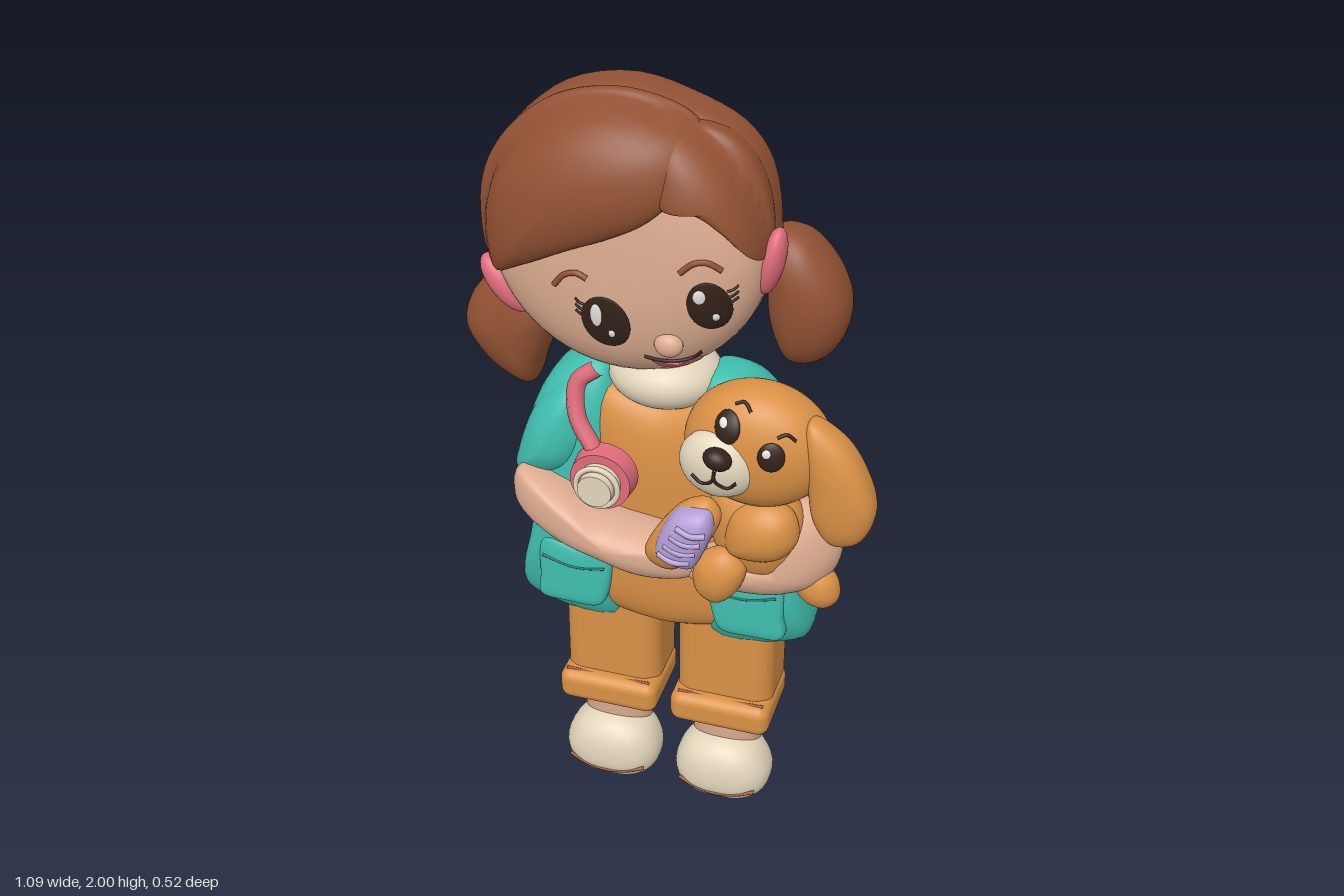
import * as THREE from 'three';
import { mergeVertices } from 'three/addons/utils/BufferGeometryUtils.js';
import { RoundedBoxGeometry } from 'three/addons/geometries/RoundedBoxGeometry.js';

const paint = (name, color) => {
  const m = new THREE.MeshStandardMaterial({ color });
  m.name = name;
  return m;
};

// Height of a rounded dome over an ellipse, used to lay details on curved faces
const dome = (cx, cy, rx, ry, z0, h, p) => (x, y) => {
  const r = Math.hypot((x - cx) / rx, (y - cy) / ry);
  return r >= 1 ? z0 : z0 + h * Math.pow(1 - Math.pow(r, p), 1 / p);
};

// Outlines are flat x, y lists in hundredths of a unit
const oval = (cx, cy, rx, ry, turn = 0) => {
  const out = [];
  for (let i = 0; i < 16; i++) {
    const a = (i / 16) * Math.PI * 2, u = rx * Math.cos(a), v = ry * Math.sin(a);
    out.push(cx + u * Math.cos(turn) - v * Math.sin(turn), cy + u * Math.sin(turn) + v * Math.cos(turn));
  }
  return out;
};
const flip = (o) => o.map((v, i) => (i % 2 ? v : -v));

// Inflates a smooth closed outline to the front by f and to the back by b
function puffGeometry(outline, { z = 0, f = 0.1, b = f, p = 2, c = null }) {
  const pts = [];
  for (let i = 0; i < outline.length; i += 2) pts.push(new THREE.Vector3(outline[i] / 100, outline[i + 1] / 100, 0));
  if (THREE.ShapeUtils.area(pts) < 0) pts.reverse();
  const M = 56, N = 24;
  const rim = new THREE.CatmullRomCurve3(pts, true).getPoints(M).slice(0, M);
  const mid = new THREE.Vector3();
  if (c) mid.set(c[0] / 100, c[1] / 100, 0);
  else rim.forEach((q) => mid.addScaledVector(q, 1 / M));
  const pos = [], idx = [];
  for (let j = 0; j <= N; j++) {
    const t = (j / N) * Math.PI, k = Math.cos(t);
    const s = j === 0 || j === N ? 0 : Math.pow(Math.sin(t), 2 / p);
    const lift = (k > 0 ? f : -b) * Math.pow(Math.abs(k), 2 / p);
    for (let i = 0; i < M; i++) {
      const x = mid.x + (rim[i].x - mid.x) * s, y = mid.y + (rim[i].y - mid.y) * s;
      pos.push(x, y, (typeof z === 'function' ? z(x, y) : z) + lift);
      if (j === N) continue;
      const a = j * M + i, n = j * M + ((i + 1) % M);
      if (j < N - 1) idx.push(a, a + M, n + M);
      else idx.push(a, a + M, n);
      if (j > 0 && j < N - 1) idx.push(a, n + M, n);
    }
  }
  const g = new THREE.BufferGeometry();
  g.setAttribute('position', new THREE.Float32BufferAttribute(pos, 3));
  g.setIndex(idx);
  const merged = mergeVertices(g, 1e-5);
  merged.computeVertexNormals();
  return merged;
}

export function createModel() {
  const hair = paint('hair brown', 0x925133), skin = paint('skin', 0xdfae92);
  const teal = paint('coat teal', 0x40bfb0), seam = paint('seam teal', 0x1f746c);
  const orange = paint('warm orange', 0xda9146), cream = paint('cream', 0xe2d5bb);
  const pink = paint('pink', 0xdf6c7a), lilac = paint('lilac', 0xb49ed6);
  const dark = paint('dark brown', 0x33211a), white = paint('white', 0xf2eee8);
  const root = new THREE.Group();
  root.name = 'girlWithPuppy';

  const add = (name, geo, mat) => {
    const m = new THREE.Mesh(geo, mat);
    m.name = name;
    root.add(m);
    return m;
  };
  const puff = (name, mat, outline, opt) => add(name, puffGeometry(outline, opt), mat);
  const stroke = (name, mat, flat, z, r) => {
    const pts = [];
    for (let i = 0; i < flat.length; i += 2) {
      const x = flat[i] / 100, y = flat[i + 1] / 100;
      pts.push(new THREE.Vector3(x, y, z(x, y)));
    }
    return add(name, new THREE.TubeGeometry(new THREE.CatmullRomCurve3(pts), 20, r, 8), mat);
  };
  const ball = (name, mat, x, y, z, rx, ry, rz, turn = 0) => {
    const m = add(name, new THREE.SphereGeometry(1, 28, 20), mat);
    m.position.set(x, y, z);
    m.scale.set(rx, ry, rz);
    m.rotation.z = turn;
  };

  // Head
  const face = dome(-0.095, 1.645, 0.335, 0.337, -0.06, 0.165, 2.9);
  puff('head', skin, oval(-9.5, 164.5, 33.5, 33.7), { z: -0.06, f: 0.165, p: 2.9 });
  ball('nose', skin, 0.035, 1.443, face(0.035, 1.443) + 0.004, 0.034, 0.03, 0.024);

  // Hair: swept fringe, side lock and back cap following the skull
  puff('fringe', hair, [-43, 153, -45.5, 168, -43, 179, -36, 189, -25, 197, -10, 200, 4, 196.8, 8, 192.5, 6, 183,
    -0.5, 175.5, -10, 170, -20, 165.5, -32, 159], { z: (x, y) => Math.max(-0.03, face(x, y)), f: 0.05, b: 0.07, c: [-20, 180] });
  puff('sideLock', hair, [3, 194, 14, 192.3, 20.5, 185, 24, 173, 23.5, 165.5, 21, 168, 16, 173.5, 9, 178.5, 2, 179, 1, 186],
    { z: (x, y) => Math.max(-0.03, face(x, y)), f: 0.04, b: 0.09, p: 2.4 });
  puff('backHair', hair, [-42, 147, -45.5, 166, -43, 179, -36, 189, -25, 197, -10, 200, 4, 196.8, 15, 191.8, 21, 184.5,
    24, 171, 23, 155, 15, 161, 4, 168.5, -13, 177, -21, 171, -32, 157],
  { z: (x, y) => Math.min(-0.11, -0.12 - face(x, y)), f: 0.1, b: 0.045, p: 3.6, c: [-12, 187] });
  puff('rightPonytail', hair, [-40, 149, -48, 144, -53.5, 137, -54.8, 130, -50, 122, -44, 117, -38, 115, -35.5, 121,
    -33, 129, -32, 137, -35, 144], { z: -0.14, f: 0.1, p: 2.3 });
  puff('leftPonytail', hair, [22, 166, 28.5, 166.5, 36, 160, 40.5, 150, 39.5, 141, 34, 134, 27, 133, 22, 143, 21, 156],
    { z: -0.14, f: 0.1, p: 2.3 });
  ball('rightHairTie', pink, -0.398, 1.48, -0.02, 0.038, 0.085, 0.042, 0.67);
  ball('leftHairTie', pink, 0.242, 1.635, -0.025, 0.03, 0.085, 0.042, -0.2);

  // Painted face
  const onFace = (d) => (x, y) => face(x, y) + d;
  for (const [x, y, rx, ry, side, shine] of [[-11, 148.5, 5.8, 6.8, -1, 3], [12.8, 155.5, 4.8, 6.4, 1, 1.8]]) {
    puff('eye', dark, oval(x, y, rx, ry, 0.2), { z: onFace(0.001), f: 0.006, b: 0.003 });
    puff('eyeHighlight', white, oval(x - 2, y + 4 - shine * 0.7, 1.4, shine), { z: onFace(0.006), f: 0.004, b: 0.002 });
    puff('eyeGlint', white, oval(x + 1.5, y - 2.6, 0.8, 1), { z: onFace(0.006), f: 0.004, b: 0.002 });
    for (const k of [0, 1, 2])
      stroke('eyelash', dark, [x + side * (rx - 1), y + 4 - k * 1.8, x + side * (rx + 0.3), y + 4.4 - k * 1.5,
        x + side * (rx + 1.3), y + 5.4 - k * 1.6], onFace(0.002), 0.003);
  }
  stroke('rightBrow', hair, [-23, 156.5, -20.5, 159.5, -17.5, 160.5, -15, 159.5], onFace(0.003), 0.007);
  stroke('leftBrow', hair, [6.5, 164, 9.5, 166.5, 12.5, 166.8, 15.5, 165], onFace(0.003), 0.007);
  puff('lips', pink, [-1, 138.6, 4.5, 137.8, 9.5, 140, 9, 136.8, 5.5, 135, 1.5, 135.8], { z: onFace(0.002), f: 0.009, b: 0.006 });
  stroke('smile', dark, [-2.5, 139.9, 1, 138.9, 5, 138.7, 8.5, 139.9, 10.5, 142], onFace(0.004), 0.004);

  // Body and collar
  puff('overalls', orange, [-17, 125, -2, 122.5, 13, 125, 18, 102, 20, 75, 18, 60, 5, 55.5, -5, 55.5, -18, 60, -20, 75, -19, 102],
    { z: -0.085, f: 0.13, b: 0.125, p: 4 });
  ball('collar', cream, -0.02, 1.275, -0.075, 0.14, 0.08, 0.125);
  const neck = add('neck', new THREE.CylinderGeometry(0.1, 0.1, 0.14, 32), skin);
  neck.position.set(-0.03, 1.32, -0.07);
  neck.scale.z = 0.85;

  // Open coat
  const coat = { z: -0.085, f: 0.14, b: 0.15, p: 2.8 };
  puff('rightCoat', teal, [-16, 131, -27, 127, -34, 117, -37.5, 101, -36, 82, -39.5, 61, -37, 56, -12, 53, -11, 84, -11, 113], coat);
  puff('leftCoat', teal, [9, 130, 18, 130, 25.5, 123, 30, 109, 32.5, 95, 34.5, 80, 37.5, 60, 35, 56, 12, 53, 13, 84, 12, 110], coat);
  puff('rightSleeve', teal, [-22, 126, -32, 118, -38, 103, -38.5, 98, -31, 97, -22, 102, -18, 114], { z: -0.02, f: 0.1, b: 0.12 });
  for (const side of [-1, 1]) {
    const o = [-30.5, 81, -22, 79.5, -13.5, 79, -14, 65, -16, 61.5, -24, 61, -32, 62, -32, 68];
    const line = [-30.5, 75.5, -22, 73.5, -14, 74.5];
    puff('pocket', teal, side < 0 ? o : flip(o), { z: 0.02, f: 0.042, b: 0.01, p: 5 });
    stroke('pocketSeam', seam, side < 0 ? line : flip(line), () => 0.06, 0.004);
  }

  // Legs, cuffs and shoes
  const shoe = [-28.5, 10, -27.5, 4, -23, 0.6, -15, 0, -8, 0.6, -3.5, 4, -2.5, 10, -6, 17, -15, 20, -24, 17.5];
  const sole = [-26, 6.4, -21, 5.2, -15.5, 4.8, -10, 5.2, -5, 6.4];
  for (const side of [-1, 1]) {
    const turn = (o) => (side < 0 ? o : flip(o));
    add('trouserLeg', new RoundedBoxGeometry(0.255, 0.47, 0.21, 5, 0.05), orange).position.set(side * 0.153, 0.505, -0.108);
    add('trouserCuff', new RoundedBoxGeometry(0.268, 0.092, 0.225, 5, 0.03), orange).position.set(side * 0.153, 0.306, -0.076);
    stroke('cuffSeam', hair, [side * 27, 35, side * 15, 34.6, side * 4, 35], () => 0.009, 0.005);
    const ankle = add('ankle', new THREE.CylinderGeometry(0.104, 0.09, 0.14, 32), skin);
    ankle.position.set(side * 0.153, 0.22, -0.078);
    ankle.scale.z = 0.7;
    puff('shoe', cream, turn(shoe), { z: -0.045, f: 0.1, p: 2.4 });
    stroke('shoeSeam', hair, turn(sole), (x) => 0.049 - 1.7 * (Math.abs(x) - 0.155) ** 2, 0.005);
  }

  // Arms cradling the puppy
  puff('rightArm', skin, [-35, 103, -26, 101, -13, 95, 1, 93, 13, 91, 14, 87, 12, 83, 1, 80, -15, 83, -28, 87, -36, 94],
    { z: (x) => 0.085 + 0.06 * (x + 0.15), f: 0.09, b: 0.1, c: [-10, 89] });
  puff('leftArm', skin, [33, 106, 41, 104, 45.5, 94, 43, 85, 33, 80, 20, 80, 9, 83, 10, 88, 20, 92, 29, 95],
    { z: (x) => 0.085 - 0.2 * (x - 0.2), f: 0.09, b: 0.1, c: [32, 88] });

  // Stethoscope
  stroke('stethoscopeTube', pink, [-15, 133, -19.5, 129, -19, 121, -15, 115, -11.5, 110],
    (x, y) => 0.06 + (1.3 - y) * 0.3, 0.022);
  for (const [name, mat, r, d, z] of [['stethoscopeRim', pink, 0.08, 0.05, 0.125],
    ['stethoscopeDisc', cream, 0.054, 0.05, 0.15], ['stethoscopeCap', cream, 0.045, 0.03, 0.178]]) {
    const disc = add(name, new THREE.CylinderGeometry(r * 0.94, r, d, 40), mat);
    disc.rotation.x = Math.PI / 2;
    disc.position.set(-0.115, 1.077, z);
  }
  add('stethoscopeRing', new THREE.TorusGeometry(0.052, 0.007, 10, 40), cream).position.set(-0.115, 1.077, 0.173);

  // Puppy body and limbs
  puff('puppyBody', orange, [16, 110, 30, 112, 36.5, 105, 36, 94, 31, 86, 22, 86, 15, 95], { z: 0.09, f: 0.085 });
  puff('puppyLeftPaw', orange, [21, 106, 28, 110, 35, 108, 37, 101, 33.5, 95.5, 27, 93.5, 20, 95], { z: 0.14, f: 0.065 });
  puff('puppyRightPaw', orange, [0.5, 92, 2, 97, 10, 108, 16, 110, 19, 106, 15, 96, 8, 88.5, 3, 89], { z: 0.17, f: 0.055 });
  puff('puppyRightFoot', orange, [13, 92, 20, 96, 25, 92, 23, 84, 18, 80, 13, 83], { z: 0.16, f: 0.05 });
  puff('puppyLeftFoot', orange, [34, 84, 40, 89, 45, 86, 46, 80, 43, 77, 38, 78], { z: 0.065, f: 0.045 });

  // Bandage wrapped around the paw
  puff('bandage', lilac, [4, 95.5, 9, 107, 16.5, 108.5, 18, 105, 15.5, 96, 13, 92, 6, 93], { z: 0.185, f: 0.06, b: 0.05, p: 3 });
  for (let k = 0; k < 4; k++)
    stroke('bandageWrap', lilac, [5.5 + k * 1.5, 96.5 + k * 2.8, 9.5 + k * 1.4, 95.3 + k * 2.8, 13.5 + k * 1.2, 95.6 + k * 2.8],
      (x) => 0.242 - 4 * (x - 0.1 - k * 0.012) ** 2, 0.008);

  // Puppy head
  const pup = dome(0.258, 1.235, 0.175, 0.157, 0.1, 0.11, 2.3);
  const onPup = (d) => (x, y) => pup(x, y) + d;
  puff('puppyHead', orange, oval(25.8, 123.5, 17.5, 15.7), { z: 0.1, f: 0.11, b: 0.09, p: 2.3 });
  puff('puppyEar', orange, [38, 134, 46, 130, 52, 121, 54.5, 111, 51, 103, 45, 101.5, 40.5, 107, 38.5, 118], { z: 0.13, f: 0.06, p: 2.6 });
  ball('puppySnout', cream, 0.185, 1.215, 0.182, 0.094, 0.085, 0.055, -0.3);
  ball('puppyNose', dark, 0.195, 1.258, 0.232, 0.034, 0.026, 0.027, -0.3);
  stroke('puppyMouth', dark, [13.5, 120.5, 16, 118.8, 18.5, 120, 19, 123, 19, 120.2, 22, 118.3, 24, 120],
    dome(0.185, 1.215, 0.1, 0.1, 0.185, 0.053, 2), 0.004);
  for (const [x, y] of [[20.6, 132], [31.2, 126.8]]) {
    puff('puppyEye', dark, oval(x, y, 3.1, 3.6), { z: onPup(0.001), f: 0.009, b: 0.004 });
    puff('puppyEyeHighlight', white, oval(x - 0.9, y + 1.2, 1, 1.1), { z: onPup(0.008), f: 0.004, b: 0.002 });
    stroke('puppyBrow', dark, [x + 1, y + 4.8, x + 3, y + 5.4, x + 5, y + 4], onPup(0.002), 0.004);
  }
  return root;
}
